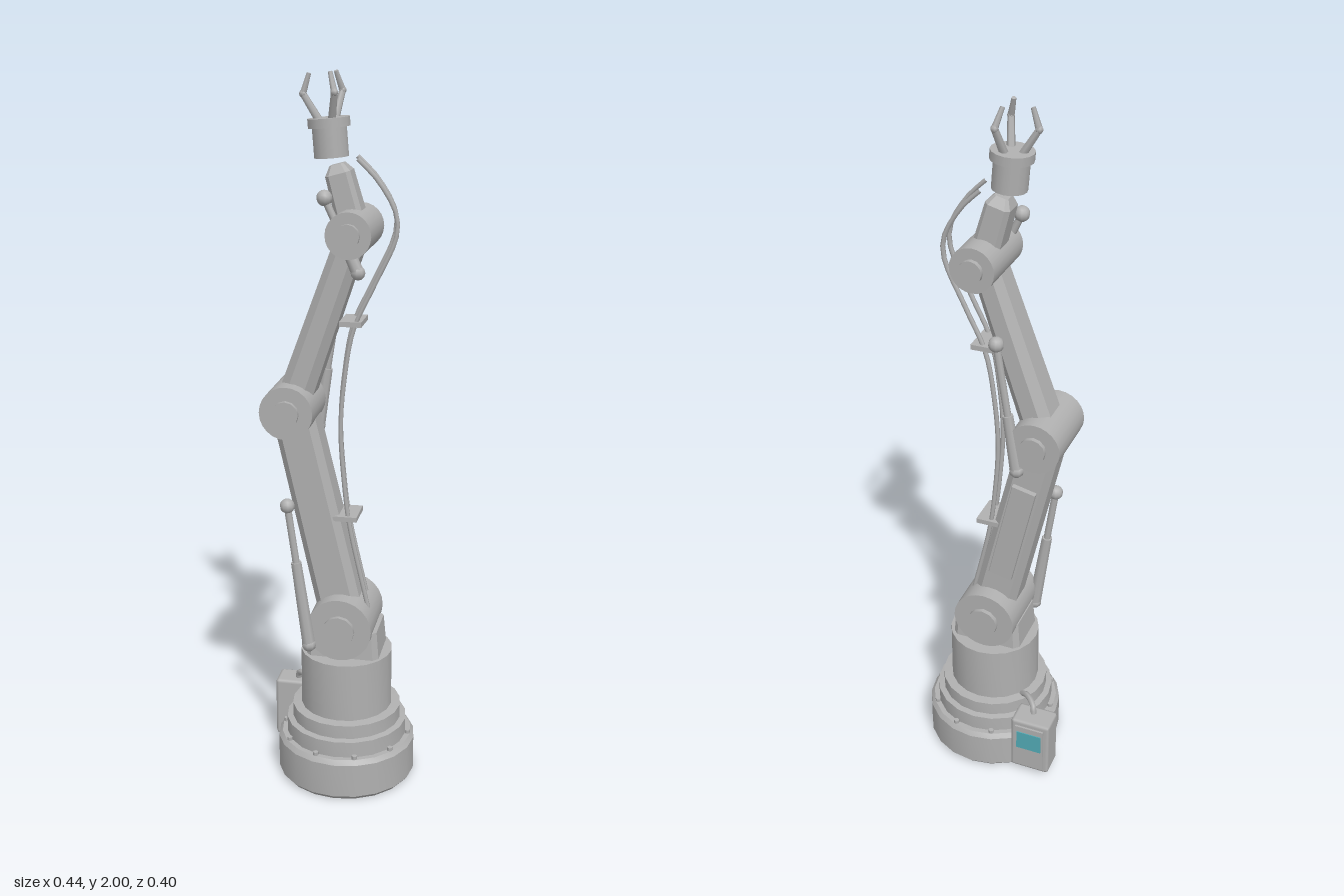
import * as THREE from 'three';
import { toCreasedNormals } from 'three/addons/utils/BufferGeometryUtils.js';
import { RoundedBoxGeometry } from 'three/addons/geometries/RoundedBoxGeometry.js';

const metal = new THREE.MeshStandardMaterial({ color: 0xb0b0b0 });
metal.name = 'grey metal';
const teal = new THREE.MeshStandardMaterial({ color: 0x52aab4 });
teal.name = 'teal screen';

const V = (x, y, z = 0) => new THREE.Vector3(x, y, z);

export function createModel() {
  const root = new THREE.Group();
  root.name = 'robotArm';

  const add = (name, geometry, pos = V(0, 0), parent = root, material = metal) => {
    const mesh = new THREE.Mesh(geometry, material);
    mesh.name = name;
    mesh.position.copy(pos);
    parent.add(mesh);
    return mesh;
  };

  const group = (name, parent = root) => {
    const g = new THREE.Group();
    g.name = name;
    parent.add(g);
    return g;
  };

  // Cylinder between two points
  const rod = (name, a, b, r, r2 = r, sides = 8, parent = root) => {
    const d = b.clone().sub(a);
    const mesh = add(name, new THREE.CylinderGeometry(r2, r, d.length(), sides),
      a.clone().add(b).multiplyScalar(0.5), parent);
    mesh.quaternion.setFromUnitVectors(V(0, 1), d.normalize());
    return mesh;
  };

  // Chamfered beam in the xy plane: half width w, half depth d, chamfer c
  const beam = (name, a, b, w, d, c, taper = 1) => {
    const pts = [[w, d - c], [w - c, d], [c - w, d], [-w, d - c],
      [-w, c - d], [c - w, -d], [w - c, -d], [w, c - d]];
    const shape = new THREE.Shape(pts.map(([x, y]) => new THREE.Vector2(x, y)));
    const dir = b.clone().sub(a);
    const len = dir.length();
    const geo = new THREE.ExtrudeGeometry(shape, { depth: len, bevelEnabled: false });
    const p = geo.attributes.position;
    for (let i = 0; i < p.count; i++) {
      const s = 1 + (taper - 1) * p.getZ(i) / len;
      p.setXY(i, p.getX(i) * s, p.getY(i) * s);
    }
    dir.normalize();
    geo.applyMatrix4(new THREE.Matrix4().makeBasis(V(-dir.y, dir.x), V(0, 0, 1), dir));
    geo.computeVertexNormals();
    return add(name, geo, a);
  };

  // Stepped turntable base
  const profile = [[0, 0], [0.19, 0], [0.2, 0.012], [0.2, 0.112], [0.19, 0.125],
    [0.175, 0.125], [0.175, 0.172], [0.158, 0.175], [0.158, 0.215], [0.132, 0.218],
    [0.132, 0.39], [0, 0.39]];
  add('base', toCreasedNormals(new THREE.LatheGeometry(
    profile.map(([x, y]) => new THREE.Vector2(x, y)), 20), 0.6), V(0.02, 0));
  const bolts = group('baseBolts');
  for (let i = 0; i < 10; i++) {
    const t = i * Math.PI / 5;
    add('bolt', new THREE.CylinderGeometry(0.008, 0.008, 0.02, 6),
      V(0.02 + 0.182 * Math.cos(t), 0.125, 0.182 * Math.sin(t)), bolts);
  }
  beam('shoulderMount', V(0.02, 0.385), V(0.02, 0.47), 0.105, 0.08, 0.015, 0.93);

  // Joints: barrel with a hub on each end
  const shoulder = V(0.016, 0.485), elbow = V(-0.13, 1.113), wrist = V(0.04, 1.597);
  const joint = (name, pos, r, hub) => {
    const g = group(name);
    g.position.copy(pos);
    for (const [part, radius, len] of [['barrel', r, 0.2], ['hub', hub, 0.226]]) {
      add(part, new THREE.CylinderGeometry(radius, radius, len, part === 'hub' ? 12 : 24),
        V(0, 0), g).rotation.x = Math.PI / 2;
    }
  };
  joint('shoulderJoint', shoulder, 0.092, 0.045);
  joint('elbowJoint', elbow, 0.074, 0.037);
  joint('wristJoint', wrist, 0.061, 0.032);

  // Arm segments
  beam('upperArm', shoulder, elbow, 0.064, 0.056, 0.02, 0.92);
  beam('forearm', elbow, wrist, 0.047, 0.06, 0.024, 0.83);
  beam('hand', wrist, V(-0.001, 1.745), 0.038, 0.042, 0.012, 0.9);
  beam('handCap', V(-0.001, 1.745), V(-0.007, 1.768), 0.034, 0.038, 0.011, 0.55);
  beam('rearPanel', V(-0.022, 0.64), V(-0.092, 0.95), 0.035, 0.008, 0.002).position.z = -0.061;

  // Pistons: sleeve, rod and ball end
  const piston = (name, a, b, split, r) => {
    const g = group(name);
    const mid = a.clone().lerp(b, split);
    rod('sleeve', a, mid, r, r * 0.8, 8, g);
    rod('rod', mid, b, r * 0.55, r * 0.55, 8, g);
    add('foot', new THREE.SphereGeometry(r * 1.1, 8, 6), a, g);
    add('ballEnd', new THREE.SphereGeometry(0.021, 10, 8), b, g);
  };
  piston('lowerPiston', V(-0.07, 0.435, 0.1), V(-0.128, 0.85, 0.1), 0.6, 0.019);
  piston('middlePiston', V(-0.08, 1.03, -0.09), V(-0.022, 1.4, -0.09), 0.45, 0.019);
  piston('upperPiston', V(0.063, 1.5, 0.08), V(-0.025, 1.69, 0.08), 0.45, 0.018);

  // Cables along the arm, with clips
  const path = [[0.04, 1.785], [0.09, 1.735], [0.14, 1.65], [0.142, 1.59], [0.085, 1.46],
    [0.03, 1.34], [0.005, 1.2], [-0.005, 1.06], [0.005, 0.9], [0.02, 0.78], [0.075, 0.53]];
  for (const [name, dx, z] of [['rearCable', 0, -0.036], ['frontCable', 0.014, 0.036]]) {
    const curve = new THREE.CatmullRomCurve3(path.map(([x, y]) => V(x + dx, y, z)));
    add(name, new THREE.TubeGeometry(curve, 40, 0.0065, 6));
  }
  add('upperClip', new THREE.BoxGeometry(0.06, 0.014, 0.1), V(0.037, 1.355));
  add('lowerClip', new THREE.BoxGeometry(0.068, 0.014, 0.1), V(0.022, 0.802));

  // Gripper, leaning slightly
  const gripper = group('gripper');
  gripper.position.set(-0.022, 1.785, 0);
  gripper.rotation.z = 0.08;
  add('gripperBody', new THREE.CylinderGeometry(0.046, 0.046, 0.08, 16), V(0, 0.04), gripper);
  add('gripperFlange', new THREE.CylinderGeometry(0.056, 0.056, 0.024, 16), V(0, 0.088), gripper);
  for (let i = 0; i < 3; i++) {
    const finger = group('finger', gripper);
    finger.rotation.y = Math.PI + i * Math.PI * 2 / 3;
    rod('lowerFinger', V(0.026, 0.095), V(0.062, 0.163), 0.011, 0.009, 6, finger);
    add('knuckle', new THREE.SphereGeometry(0.0105, 6, 5), V(0.062, 0.163), finger);
    rod('fingertip', V(0.062, 0.163), V(0.042, 0.213), 0.009, 0.006, 6, finger);
  }

  // Control box with screen and feed conduit
  add('controlBox', new RoundedBoxGeometry(0.12, 0.185, 0.08, 1, 0.01), V(-0.16, 0.112, -0.136));
  add('screenFrame', new THREE.BoxGeometry(0.088, 0.15, 0.008), V(-0.16, 0.112, -0.178));
  add('screen', new THREE.BoxGeometry(0.076, 0.062, 0.004), V(-0.16, 0.137, -0.1825), root, teal);
  const feed = new THREE.CatmullRomCurve3([V(-0.155, 0.19, -0.13), V(-0.15, 0.225, -0.12),
    V(-0.12, 0.232, -0.09), V(-0.08, 0.2, -0.06)]);
  add('feedConduit', new THREE.TubeGeometry(feed, 12, 0.009, 6));

  return root;
}
